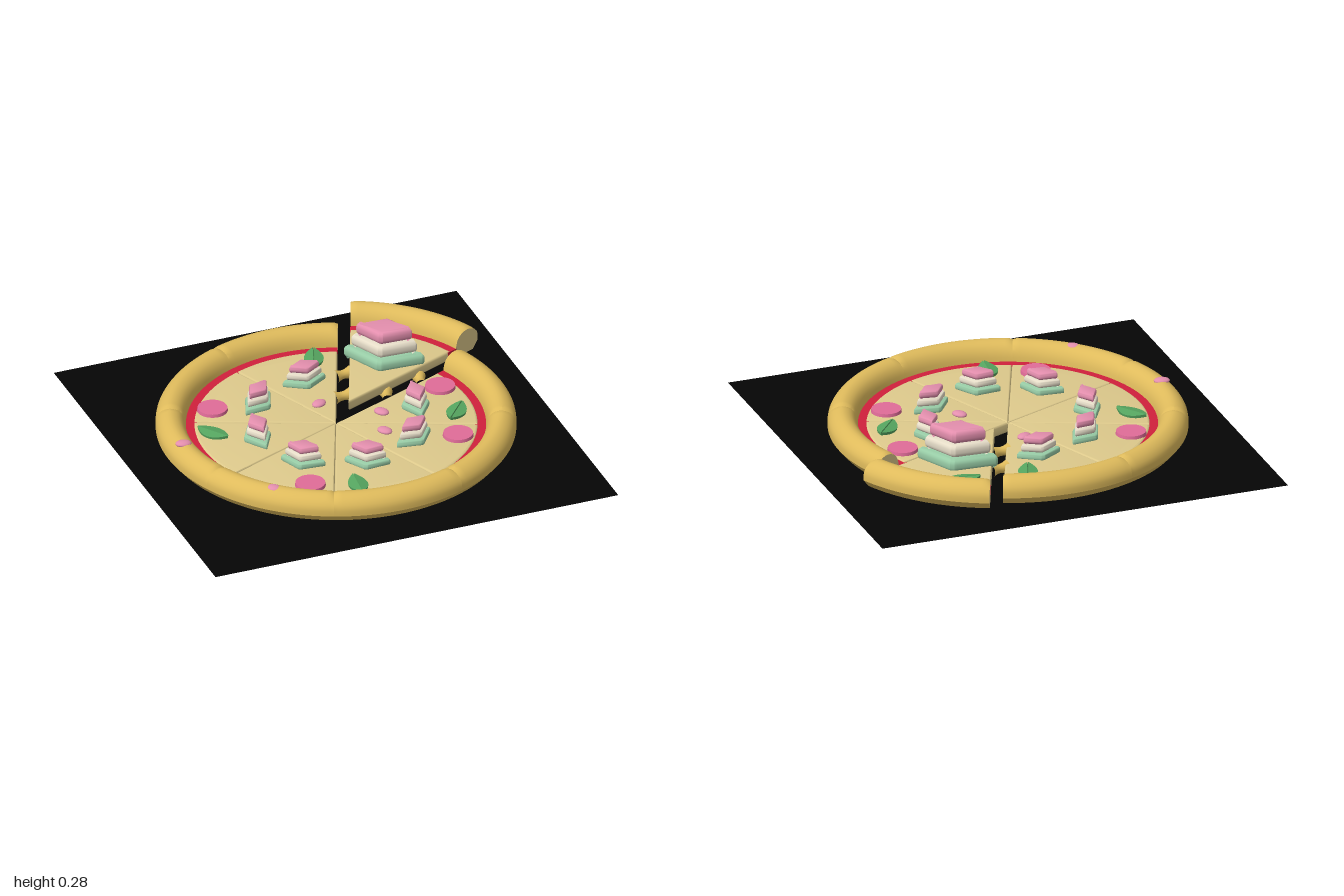
import * as THREE from 'three';
import { toCreasedNormals } from 'three/addons/utils/BufferGeometryUtils.js';

const mat = (name, color, side = THREE.FrontSide) => {
  const m = new THREE.MeshStandardMaterial({ color, side });
  m.name = name;
  return m;
};
const M = {
  board: mat('board black', 0x050505, THREE.DoubleSide),
  crust: mat('crust gold', 0xdfbb5c),
  cheese: mat('cheese cream', 0xdeca8c, THREE.DoubleSide),
  sauce: mat('sauce red', 0xd0203c),
  salami: mat('salami pink', 0xe06c98),
  leaf: mat('leaf green', 0x56a660),
  mint: mat('layer mint', 0x98cca6),
  cream: mat('layer cream', 0xe8dfca),
  pink: mat('layer pink', 0xe48fae),
};
const HALF = Math.PI / 8;     // half the angle of one slice
const CHEESE = 0.06;          // height of the cheese surface
const LIFT = 0.035;           // how far the loose slice is raised

function add(parent, name, geometry, material, x = 0, y = 0, z = 0) {
  const mesh = new THREE.Mesh(geometry, material);
  mesh.name = name;
  mesh.position.set(x, y, z);
  parent.add(mesh);
  return mesh;
}

// Flat shape raised from y = 0 to y = height, with rounded rims
function slab(shape, height, bevel = 0, segments = 3) {
  const g = new THREE.ExtrudeGeometry(shape, {
    depth: height - 2 * bevel, bevelEnabled: bevel > 0, bevelThickness: bevel,
    bevelSize: bevel, bevelOffset: -bevel, bevelSegments: segments, curveSegments: 20,
  });
  g.translate(0, 0, bevel).rotateX(-Math.PI / 2);
  return toCreasedNormals(g, 0.7);
}

// Slice outline, from a point or from an inner radius
function sector(inner, outer) {
  const s = new THREE.Shape();
  const c = Math.cos(HALF), n = Math.sin(HALF);
  s.moveTo(inner * c, -inner * n);
  s.lineTo(outer * c, -outer * n);
  s.absarc(0, 0, outer, -HALF, HALF, false);
  s.lineTo(inner * c, inner * n);
  if (inner > 0) s.absarc(0, 0, inner, HALF, -HALF, true);
  return s;
}

// Crust cross-section: flat underside, slanted foot, rounded top
const dome = new THREE.SplineCurve([
  [0.832, 0.048], [0.829, 0.088], [0.805, 0.122], [0.765, 0.139], [0.725, 0.125], [0.7, 0.09], [0.69, 0.045],
].map(([r, y]) => new THREE.Vector2(r, y))).getPoints(18);
const profile = [new THREE.Vector2(0.69, 0.01), new THREE.Vector2(0.8, 0.01), ...dome, new THREE.Vector2(0.69, 0.01)];
const notch = (y) => (y > 0.1 ? y - (y - 0.1) * 0.22 : y);

function crustGeometry() {
  const g = new THREE.LatheGeometry(profile, 32, Math.PI / 2 - HALF, 2 * HALF);
  const p = g.attributes.position;
  // Dip the top at both ends so neighbouring slices meet in a notch
  for (let i = 0; i < p.count; i++) {
    const a = Math.abs(Math.atan2(p.getZ(i), p.getX(i)));
    if (a > HALF - 0.001) p.setY(i, notch(p.getY(i)));
  }
  return toCreasedNormals(g, 0.5);
}

const geo = {
  crust: crustGeometry(),
  cap: new THREE.ShapeGeometry(new THREE.Shape(profile.slice(0, -1).map((v) => new THREE.Vector2(v.x, notch(v.y))))),
  sauce: slab(sector(0.64, 0.695), 0.043),
  cheese: slab(sector(0, 0.655), CHEESE - 0.008, 0.012),
};

function makeSlice() {
  const slice = new THREE.Group();
  slice.name = 'slice';
  add(slice, 'crust', geo.crust, M.crust);
  for (const s of [-1, 1]) add(slice, 'crustEnd', geo.cap, M.cheese).rotation.y = s * HALF;
  add(slice, 'sauce', geo.sauce, M.sauce, 0, 0.012, 0);
  add(slice, 'cheese', geo.cheese, M.cheese, 0, 0.008, 0);
  return slice;
}

// Rhombus stack of three rounded layers, each smaller than the one below
function makeStack(a, b, layer) {
  const stack = new THREE.Group();
  stack.name = 'layeredTopping';
  [['mintLayer', M.mint, 1.08], ['creamLayer', M.cream, 0.88], ['pinkLayer', M.pink, 0.75]].forEach(([name, m, k], i) => {
    const s = new THREE.Shape();
    const c = [[a, 0], [0, b], [-a, 0], [0, -b]];
    // Corners softened by curving through each one
    c.forEach(([x, y], j) => {
      const [px, py] = c[(j + 3) % 4], [nx, ny] = c[(j + 1) % 4];
      const t = 0.1;
      const from = [k * (x + (px - x) * t), k * (y + (py - y) * t)];
      if (j === 0) s.moveTo(...from); else s.lineTo(...from);
      s.quadraticCurveTo(k * x, k * y, k * (x + (nx - x) * t), k * (y + (ny - y) * t));
    });
    s.closePath();
    add(stack, name, slab(s, layer, layer * 0.38, 4), m, 0, i * layer, 0);
  });
  return stack;
}

// Half of a pointed leaf along x, sloping down from the midrib
function halfLeafGeometry() {
  const s = new THREE.Shape();
  s.moveTo(-0.083, 0);
  s.lineTo(0.083, 0);
  s.quadraticCurveTo(0, 0.088, -0.083, 0);
  return slab(s, 0.014).rotateX(-0.2);
}

export function createModel() {
  const model = new THREE.Group();
  model.name = 'pizza';

  // Square board
  add(model, 'board', new THREE.PlaneGeometry(2, 2).rotateX(-Math.PI / 2), M.board);

  // Eight slices, one pulled out and raised
  for (let k = 0; k < 8; k++) {
    const slice = makeSlice();
    slice.rotation.y = k * Math.PI / 4;
    if (k === 1) {
      slice.name = 'looseSlice';
      slice.position.set(0.105, LIFT, -0.105);
    }
    model.add(slice);
  }

  // Layered toppings: x, z, turn in degrees
  const stacks = [
    [0, -0.395, 0], [-0.275, -0.28, 37], [-0.39, 0, 92], [-0.275, 0.28, -37],
    [0, 0.39, -28], [0.275, 0.275, 22], [0.395, 0, 85],
  ];
  for (const [x, z, turn] of stacks) {
    const s = makeStack(0.103, 0.064, 0.037);
    s.position.set(x, CHEESE - 0.008, z);
    s.rotation.y = THREE.MathUtils.degToRad(turn);
    model.add(s);
  }
  const big = makeStack(0.185, 0.112, 0.064);
  big.name = 'largeLayeredTopping';
  big.position.set(0.4, 0.083, -0.4);
  big.rotation.y = -0.59;
  model.add(big);

  // Salami rounds
  const round = toCreasedNormals(new THREE.CylinderGeometry(0.069, 0.072, 0.018, 32), 0.7);
  for (const [x, z] of [[-0.485, -0.32], [0.565, -0.12], [0.48, 0.315], [-0.32, 0.48]]) {
    add(model, 'salami', round, M.salami, x, CHEESE + 0.006, z);
  }

  // Leaves: x, z, turn in degrees, raise
  const halfLeaf = halfLeafGeometry();
  for (const [x, z, turn, up] of [
    [0.118, -0.568, 70, 0], [0.455, -0.612, -5, LIFT], [-0.565, -0.115, -55, 0],
    [0.55, 0.12, 50, 0], [-0.118, 0.568, 84, 0],
  ]) {
    const leaf = new THREE.Group();
    leaf.name = 'leaf';
    for (const side of [0, Math.PI]) add(leaf, 'leafHalf', halfLeaf, M.leaf).rotation.y = side;
    leaf.position.set(x, CHEESE + 0.006 + up, z);
    leaf.rotation.y = THREE.MathUtils.degToRad(turn);
    model.add(leaf);
  }

  // Small pink petals, some on the crust: x, y, z, turn
  const petal = new THREE.SphereGeometry(1, 16, 10).scale(0.038, 0.014, 0.028);
  for (const [x, y, z, turn] of [
    [-0.01, CHEESE + 0.005, -0.185, 0.5], [0.23, CHEESE + 0.005, -0.01, -1], [0.18, CHEESE + 0.005, 0.155, -1],
    [-0.77, 0.135, 0.03, -0.2], [-0.53, 0.128, 0.55, -0.8],
  ]) add(model, 'petal', petal, M.pink, x, y, z).rotation.y = turn;

  // Stretched strands bridging the two cuts: x, z, turn
  const spool = new THREE.SplineCurve([[0.032, -0.042], [0.024, -0.02], [0.021, 0], [0.024, 0.02], [0.032, 0.042]]
    .map(([r, y]) => new THREE.Vector2(r, y))).getPoints(10);
  const strand = new THREE.LatheGeometry(spool, 12).rotateZ(Math.PI / 2);
  for (const [x, z, turn] of [[0.207, -0.43, 0.2], [0.132, -0.25, 0.1], [0.32, -0.168, 1.3], [0.515, -0.24, 1.35]]) {
    add(model, 'strand', strand, M.crust, x, 0.038, z).rotation.y = turn;
  }
  return model;
}
